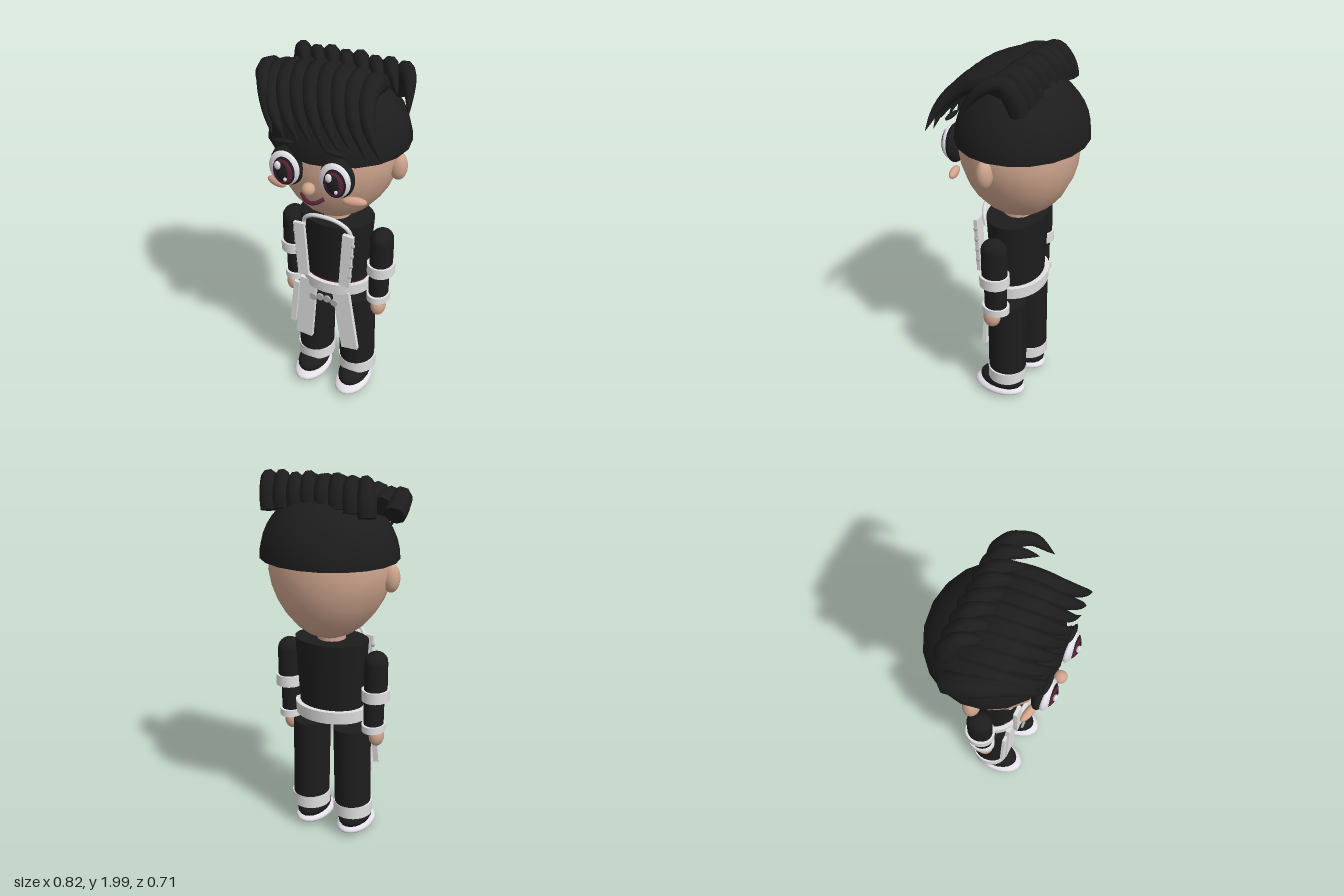
import * as THREE from 'three';
import { toCreasedNormals } from 'three/addons/utils/BufferGeometryUtils.js';

const mat = (name, color, extra = {}) => {
  const m = new THREE.MeshStandardMaterial({ color, ...extra });
  m.name = name;
  return m;
};
const V = (x, y, z) => new THREE.Vector3(x, y, z);

export function createModel() {
  const black = mat('black', 0x1d1d1d, { side: THREE.DoubleSide });
  const skin = mat('skin', 0xcea48d);
  const blush = mat('blush', 0xd6a48c);
  const white = mat('white trim', 0xe0e0e0);
  const silver = mat('silver', 0xb0b0b0);
  const sole = mat('sole white', 0xe6e2ea);
  const maroon = mat('maroon', 0x5a2238);

  const model = new THREE.Group();
  model.name = 'figure';
  const body = new THREE.Group();
  body.name = 'body';
  body.position.x = 0.013;
  model.add(body);

  const add = (name, geo, material, pos = [0, 0, 0], parent = body) => {
    const m = new THREE.Mesh(geo, material);
    m.name = name;
    m.position.set(...pos);
    parent.add(m);
    return m;
  };
  const ball = (name, material, pos, r, segs = 20) =>
    add(name, new THREE.SphereGeometry(1, segs, Math.ceil(segs * 0.7)).scale(...r), material, pos);
  // Tapered elliptical drum between two heights
  const drum = (name, material, x, y0, y1, rTop, rBottom, depth = 1) =>
    add(name, new THREE.CylinderGeometry(rTop, rBottom, y1 - y0, 28).scale(1, 1, depth), material, [x, (y0 + y1) / 2, 0]);
  const slab = (name, material, pos, size, tilt) => {
    const m = add(name, new THREE.BoxGeometry(...size), material, pos);
    m.rotation.z = tilt;
    return m;
  };
  const wire = (name, material, pts, r) =>
    add(name, new THREE.TubeGeometry(new THREE.CatmullRomCurve3(pts), 24, r, 8), material);

  // Head: sphere narrowed toward the chin
  const skull = new THREE.SphereGeometry(1, 20, 14).scale(0.325, 0.37, 0.297);
  const p = skull.attributes.position;
  for (let i = 0; i < p.count; i++) {
    const t = Math.max(0, -p.getY(i) / 0.37);
    p.setX(i, p.getX(i) * (1 - 0.15 * t));
  }
  skull.computeVertexNormals();
  add('head', skull, skin, [0, 1.51, -0.012]);
  drum('neck', skin, 0, 1.11, 1.2, 0.075, 0.075);
  ball('nose', skin, [0, 1.44, 0.312], [0.033, 0.033, 0.033]);
  wire('mouth', maroon, [V(-0.06, 1.377, 0.268), V(-0.033, 1.36, 0.287), V(0, 1.352, 0.294),
    V(0.033, 1.36, 0.287), V(0.06, 1.377, 0.268)], 0.01);

  for (const s of [-1, 1]) {
    ball('ear', skin, [s * 0.325, 1.488, 0.003], [0.046, 0.074, 0.042]);
    const cheek = ball('cheek', blush, [s * 0.208, 1.39, 0.245], [0.06, 0.024, 0.022]);
    cheek.rotation.y = s * 0.25;

    // Eye: nested flattened domes
    const ex = s * 0.132, ey = 1.515;
    ball('eyeRim', black, [ex, ey, 0.272], [0.088, 0.104, 0.04], 28);
    ball('eyeWhite', sole, [ex, ey, 0.3], [0.08, 0.09, 0.031], 28);
    ball('irisRim', black, [ex + 0.006, ey - 0.004, 0.318], [0.059, 0.075, 0.016], 28);
    ball('iris', maroon, [ex + 0.006, ey - 0.005, 0.322], [0.052, 0.067, 0.019], 28);
    ball('pupil', black, [ex + 0.006, ey - 0.003, 0.33], [0.036, 0.052, 0.015], 24);
    ball('eyeShine', sole, [ex - 0.012, ey + 0.033, 0.342], [0.017, 0.022, 0.011], 14);
    ball('eyeGlint', sole, [ex + 0.024, ey - 0.035, 0.339], [0.009, 0.012, 0.008], 10);
    const brow = ball('brow', black, [s * 0.135, 1.655, 0.295], [0.055, 0.012, 0.015], 14);
    brow.rotation.z = -s * 0.08;
  }

  // Hair cap
  add('hairCap', new THREE.SphereGeometry(1, 20, 10, 0, Math.PI * 2, 0, Math.PI / 2).scale(0.36, 0.335, 0.33),
    black, [0, 1.57, -0.028]);

  // Hair lock: a tube tapered to a point, with a flat closed root
  const lock = (name, pts, r) => {
    const curve = new THREE.CatmullRomCurve3(pts);
    const n = 24, sides = 8;
    const geo = new THREE.TubeGeometry(curve, n, r, sides);
    const pos = geo.attributes.position;
    const v = new THREE.Vector3();
    for (let i = 0; i <= n; i++) {
      const u = i / n;
      const k = i === 0 ? 0 : 0.85 + 0.15 * Math.sin(Math.PI * Math.min(1, u * 2)) - 0.85 * u ** 2.6;
      const c = curve.getPointAt(u);
      const end = i === 0 ? curve.getPointAt(1 / n) : c;
      for (let j = 0; j <= sides; j++) {
        const id = i * (sides + 1) + j;
        v.fromBufferAttribute(pos, id).sub(c).multiplyScalar(Math.max(0, k)).add(end);
        pos.setXYZ(id, v.x, v.y, v.z);
      }
    }
    add(name, toCreasedNormals(geo, 0.95), black, [0, 0, 0], model);
  };

  // Crown row, rising steeply at the back, then sweeping forward and to the left
  for (let i = 0; i < 8; i++) {
    const x = -0.25 + i * 0.075, last = i === 7;
    const drop = 0.45 * x * x, dip = (i % 2) * 0.012;
    lock('crownLock', [
      V(x, 1.815 - drop, -0.157),
      V(x + 0.015, 1.89 - drop * 0.5, -0.13),
      V(x + 0.04, 1.957 - dip - drop * 0.15, -0.085),
      V(x + 0.085, last ? 1.93 : 1.93 - drop * 0.3, -0.02),
      V(x + 0.13, last ? 1.8 : 1.87, last ? 0.085 : 0.04),
    ], 0.052);
  }
  // Fringe row, falling over the forehead
  for (let i = 0; i < 8; i++) {
    const x = -0.282 + i * 0.069;
    const drop = 0.5 * x * x;
    lock('fringeLock', [
      V(x, 1.88 - drop, -0.085),
      V(x + 0.005, 1.91 - drop, 0.04),
      V(x + 0.03, 1.888 - drop, 0.15),
      V(x + 0.075, 1.81 - drop * 0.5, 0.235),
      V(x + 0.125, 1.73, 0.278),
      V(x + 0.175, 1.645 + (i % 3) * 0.015, 0.297),
    ], 0.057);
  }
  // Outer swept lock on the right side
  lock('sideLock', [V(-0.355, 1.8, -0.1), V(-0.352, 1.845, -0.03), V(-0.325, 1.87, 0.07),
    V(-0.278, 1.845, 0.17), V(-0.228, 1.77, 0.25), V(-0.18, 1.67, 0.295)], 0.06);

  // Torso, front waist piping and belt
  drum('torso', black, 0, 0.76, 1.13, 0.203, 0.178, 0.74);
  add('waistPiping', new THREE.CylinderGeometry(0.181, 0.181, 0.013, 24, 1, true, -1.4, 2.8).scale(1, 1, 0.745),
    maroon, [0, 0.77, 0]);
  drum('belt', white, 0, 0.7, 0.767, 0.205, 0.2, 0.77);
  for (let i = 0; i < 4; i++) {
    add('beltStud', new THREE.CylinderGeometry(0.021, 0.021, 0.011, 14).rotateX(Math.PI / 2),
      silver, [-0.062 + i * 0.042, i % 3 ? 0.673 : 0.662, 0.17]);
  }

  // Hanging belt tails
  slab('beltTail', white, [-0.128, 0.53, 0.118], [0.097, 0.405, 0.024], -0.085);
  slab('beltTail', white, [0.108, 0.518, 0.118], [0.097, 0.385, 0.024], 0.15);
  slab('thinTail', white, [-0.203, 0.54, 0.115], [0.032, 0.29, 0.018], -0.11);

  // Neck cord
  wire('neckCord', white, [V(-0.135, 1.08, 0.115), V(-0.12, 1.135, 0.135), V(-0.07, 1.175, 0.15), V(0, 1.186, 0.155),
    V(0.07, 1.175, 0.15), V(0.12, 1.135, 0.135), V(0.135, 1.08, 0.115)], 0.011);

  for (const s of [-1, 1]) {
    // Chest strap with studs
    slab('chestStrap', white, [s * 0.129, 0.955, 0.16], [0.06, 0.325, 0.02], -s * 0.065);
    for (let i = 0; i < 4; i++) {
      ball('strapStud', silver, [s * (0.164 - i * 0.005), 1.06 - i * 0.066, 0.16], [0.012, 0.012, 0.012], 10);
    }

    // Arm
    const ax = s * 0.256;
    add('upperArm', new THREE.CapsuleGeometry(0.061, 0.18, 8, 20).scale(1, 1, 1.13), black, [ax, 0.94, 0]);
    drum('elbowCuff', white, ax, 0.825, 0.885, 0.074, 0.074, 1.08);
    drum('forearm', black, s * 0.247, 0.67, 0.84, 0.054, 0.052, 1.15);
    drum('wristCuff', white, s * 0.247, 0.648, 0.686, 0.062, 0.062, 1.22);
    ball('hand', skin, [s * 0.256, 0.605, 0.02], [0.041, 0.058, 0.048], 16);

    // Leg
    const leg = drum('leg', black, s * 0.125, 0.15, 0.645, 0.1, 0.098, 1.08);
    leg.rotation.z = s * 0.015;
    drum('ankleCuff', white, s * 0.13, 0.125, 0.195, 0.107, 0.107);

    // Shoe
    ball('shoe', black, [s * 0.13, 0.085, 0.035], [0.084, 0.062, 0.132], 20);
    ball('shoeSole', sole, [s * 0.13, 0.038, 0.048], [0.097, 0.038, 0.153], 24);
  }

  return model;
}
